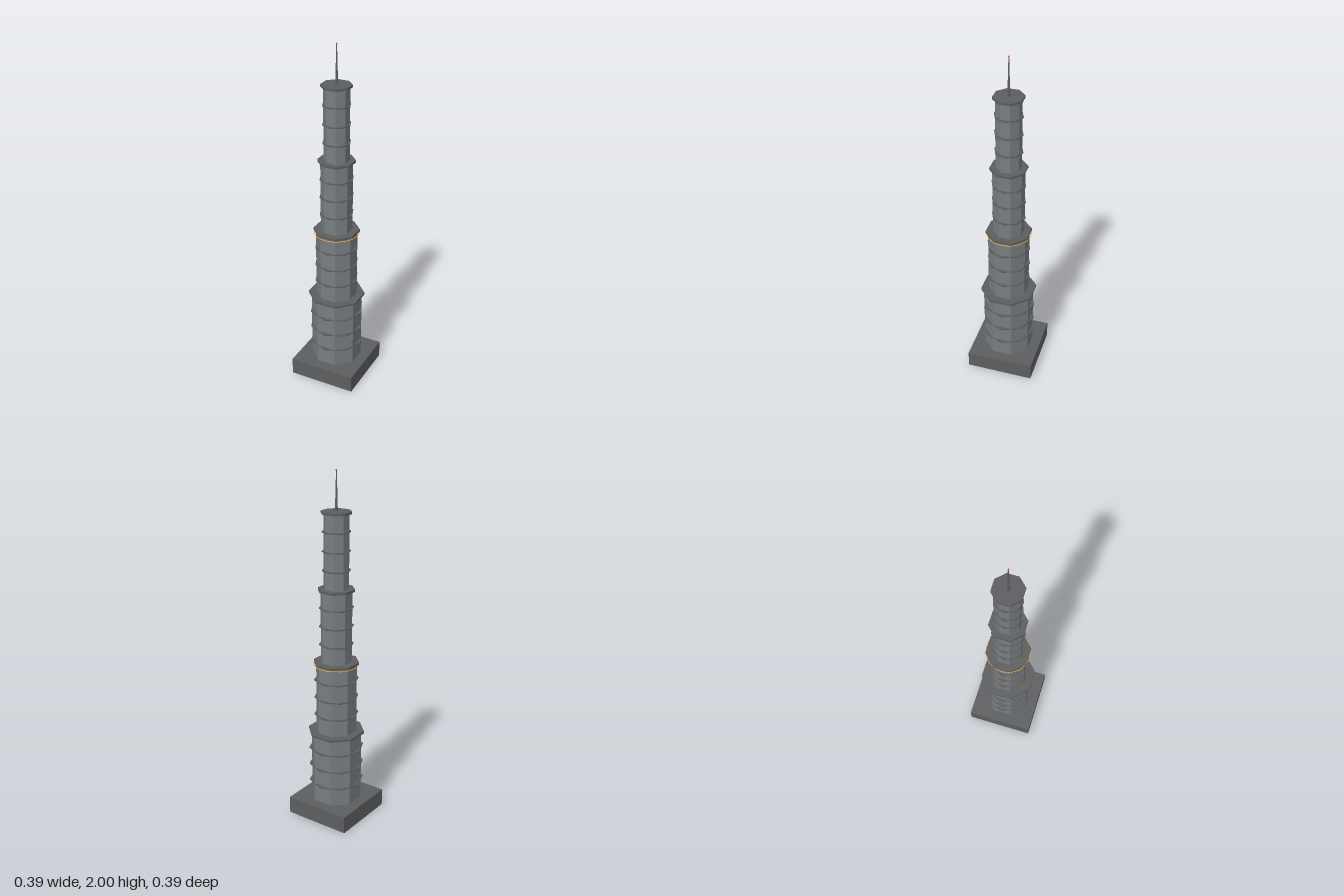
import * as THREE from 'three';

const paint = (color) => new THREE.MeshStandardMaterial({ color, flatShading: true });
const slate = paint(0x787d80);
const charcoal = paint(0x5d5e60);
const orange = paint(0xffa826);
const red = paint(0xff4a3c);

function addMesh(parent, name, geometry, y, material) {
  const mesh = new THREE.Mesh(geometry, material);
  mesh.name = name;
  mesh.position.y = y;
  parent.add(mesh);
}

// Octagonal prism with flat faces towards the axes, sized by its half-width
function octagon(halfWidth, height) {
  const r = halfWidth / Math.cos(Math.PI / 8);
  return new THREE.CylinderGeometry(r, r, height, 8).rotateY(Math.PI / 8);
}

export function createModel() {
  const model = new THREE.Group();
  model.name = 'tower';

  // Square base
  const baseHeight = 0.1;
  addMesh(model, 'base', new THREE.BoxGeometry(0.392, baseHeight, 0.392), baseHeight / 2, charcoal);

  // Stacked, narrowing tiers: body, cornice and three thin ledges each
  const tierHeight = 0.419;
  const tiers = [
    { body: 0.135, cornice: 0.15, ledge: 0.157 },
    { body: 0.108, cornice: 0.12, ledge: 0.126 },
    { body: 0.082, cornice: 0.096, ledge: 0.097 },
    { body: 0.065, cornice: 0.078, ledge: 0.079 },
  ];
  tiers.forEach(({ body, cornice, ledge }, i) => {
    const tier = new THREE.Group();
    tier.name = `tier${i + 1}`;
    tier.position.y = baseHeight + i * tierHeight;
    model.add(tier);

    addMesh(tier, 'tierBody', octagon(body, tierHeight), tierHeight / 2, slate);
    addMesh(tier, 'cornice', octagon(cornice, 0.013), tierHeight, charcoal);

    // Ledges are turned so their corners point out over the wall faces
    for (let k = 1; k <= 3; k++) {
      addMesh(tier, 'ledge', new THREE.CylinderGeometry(ledge, ledge, 0.006, 8),
        0.0035 + (k * tierHeight) / 4, charcoal);
    }
  });

  // Thin coloured hoop just under the second cornice
  const hoop = new THREE.TorusGeometry(0.1275, 0.002, 6, 16).rotateX(Math.PI / 2);
  addMesh(model, 'hoop', hoop, 0.926, orange);

  // Tapered spire with a small beacon on its tip
  const roof = baseHeight + tiers.length * tierHeight;
  const spireHeight = 1.995 - roof;
  addMesh(model, 'spire', new THREE.CylinderGeometry(0.002, 0.008, spireHeight, 8),
    roof + spireHeight / 2, charcoal);
  addMesh(model, 'beacon', new THREE.SphereGeometry(0.005, 8, 6), 1.995, red);

  return model;
}
